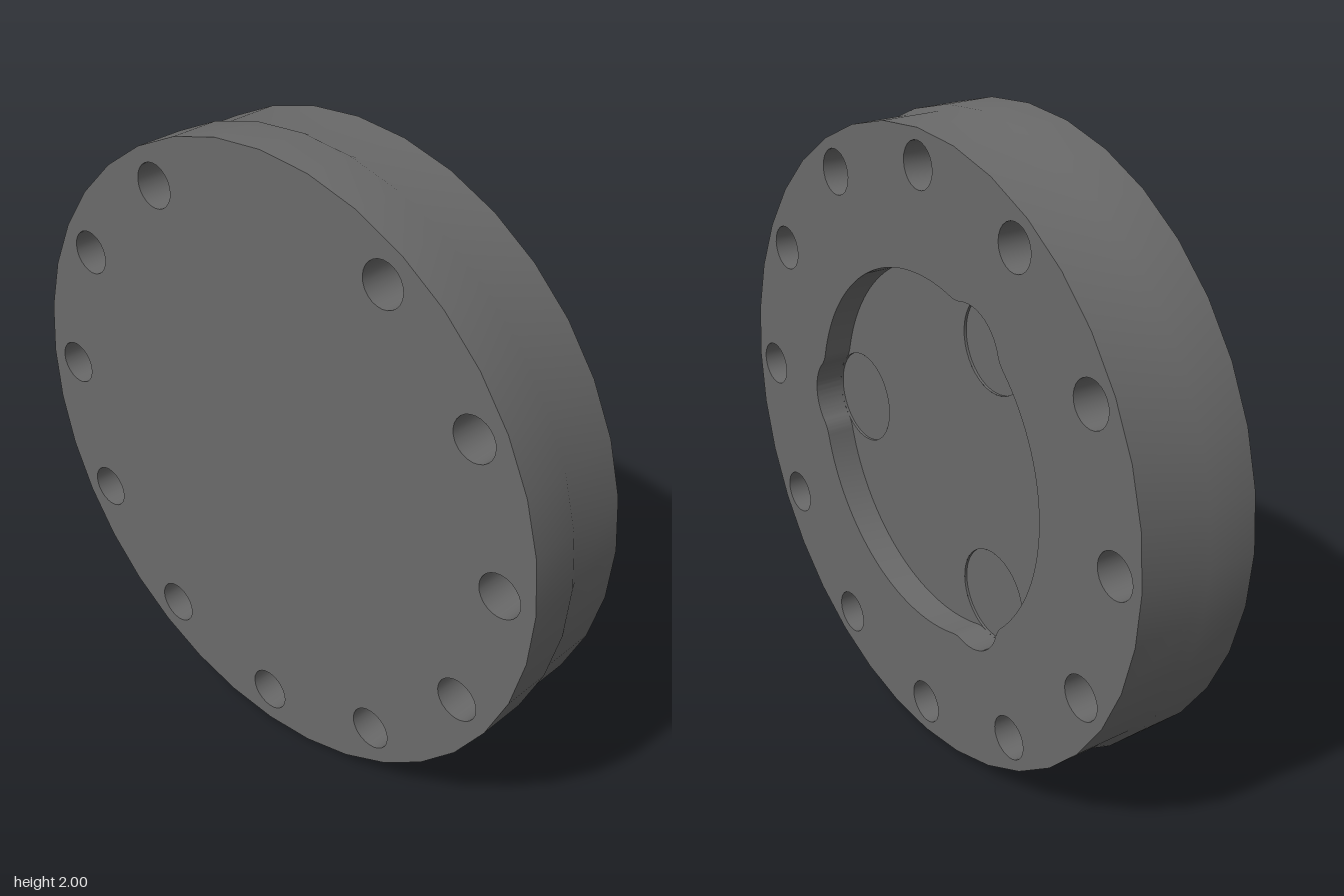
import * as THREE from 'three';
import { toCreasedNormals } from 'three/addons/utils/BufferGeometryUtils.js';

const BACK = -0.19, FRONT = 0.19;          // disc faces along x
const R_BACK = 1, R_FRONT = 0.985;         // stepped rim
const BOLT_R = 0.88, HOLE_R = 0.07;        // bolt circle
const MAIN_R = 0.565, LOBE_C = 0.465, LOBE_R = 0.145; // recess
const BLEND = 0.03;                        // rounding where lobes meet the main circle
const FLOOR = FRONT - 0.092, POCKET = FRONT - 0.1;
const BLIND = FRONT - 0.12;                // where the blind hole starts to round off
const LOBES = [Math.PI / 3, Math.PI, 5 * Math.PI / 3];

const material = new THREE.MeshStandardMaterial({ color: 0x6a6a6a });
const openMaterial = new THREE.MeshStandardMaterial({ color: 0x6a6a6a, side: THREE.DoubleSide });

// Points of a circle in the disc plane (u = -z, v = y)
function circle(r, n, cu = 0, cv = 0) {
  return Array.from({ length: n }, (_, i) => {
    const a = (i / n) * Math.PI * 2;
    return new THREE.Vector2(cu + r * Math.cos(a), cv + r * Math.sin(a));
  });
}

// Main circle joined with the lobes (inward = false) or cut by them (inward = true)
function recessOutline(inward) {
  const delta = Math.acos((MAIN_R ** 2 + LOBE_C ** 2 - LOBE_R ** 2) / (2 * MAIN_R * LOBE_C));
  const phi = Math.atan2(MAIN_R * Math.sin(delta), MAIN_R * Math.cos(delta) - LOBE_C);
  const lobeEnd = phi - BLEND / LOBE_R, mainStart = delta + BLEND / MAIN_R;
  const shape = new THREE.Shape();
  // Rounded corner at the crossing of the two circles
  const blend = (cornerAngle, u, v) => shape.quadraticCurveTo(
    MAIN_R * Math.cos(cornerAngle), MAIN_R * Math.sin(cornerAngle), u, v);
  for (const a of LOBES) {
    const cu = LOBE_C * Math.cos(a), cv = LOBE_C * Math.sin(a);
    const next = a + Math.PI * 2 / 3;
    shape.absarc(cu, cv, LOBE_R, a - lobeEnd, a + lobeEnd, inward);
    blend(a + delta, MAIN_R * Math.cos(a + mainStart), MAIN_R * Math.sin(a + mainStart));
    shape.absarc(0, 0, MAIN_R, a + mainStart, next - mainStart, false);
    blend(next - delta,
      LOBE_C * Math.cos(next) + LOBE_R * Math.cos(next - lobeEnd),
      LOBE_C * Math.sin(next) + LOBE_R * Math.sin(next - lobeEnd));
  }
  return shape.getPoints(16);
}

// Flat face at a given x, looking along dir (+1 or -1)
function face(points, holes, x, dir = 1) {
  const shape = new THREE.Shape(points);
  shape.holes = holes.map((h) => new THREE.Path(h));
  return new THREE.ShapeGeometry(shape).rotateY(dir * Math.PI / 2).translate(x, 0, 0);
}

// Open wall following a closed outline between two x positions
function wall(points, x0, x1) {
  const pos = [], index = [], n = points.length;
  points.forEach((p, i) => {
    pos.push(x0, p.y, -p.x, x1, p.y, -p.x);
    const a = 2 * i, b = 2 * ((i + 1) % n);
    index.push(a, a + 1, b, b, a + 1, b + 1);
  });
  const g = new THREE.BufferGeometry();
  g.setAttribute('position', new THREE.Float32BufferAttribute(pos, 3));
  g.setIndex(index);
  return toCreasedNormals(g, 0.8);
}

export function createModel() {
  const model = new THREE.Group();
  model.name = 'flangeCover';
  const disc = new THREE.Group();
  disc.name = 'disc';
  disc.position.y = 1;
  model.add(disc);
  const add = (name, geometry, mat = material) => {
    const mesh = new THREE.Mesh(geometry, mat);
    mesh.name = name;
    disc.add(mesh);
  };

  // Bolt holes, the top one being blind
  const holes = [];
  for (let i = 0; i < 12; i++) {
    const a = Math.PI / 2 + (i * Math.PI) / 6;
    holes.push(circle(HOLE_R, 24, BOLT_R * Math.cos(a), BOLT_R * Math.sin(a)));
  }

  // Rim with its small bevelled step
  const profile = [[R_BACK, BACK], [R_BACK, -0.03], [R_FRONT, 0], [R_FRONT, FRONT]];
  const rim = new THREE.LatheGeometry(profile.map(([r, x]) => new THREE.Vector2(r, x)), 36);
  add('rim', rim.rotateZ(-Math.PI / 2));

  // Faces
  const outline = recessOutline(false);
  add('frontFace', face(circle(R_FRONT, 36), [outline, ...holes], FRONT));
  add('backFace', face(circle(R_BACK, 36), holes.slice(1), BACK, -1));

  // Hole walls
  holes.forEach((h, i) => add('boltHole', wall(h, i ? BACK : BLIND, FRONT), openMaterial));
  const bottom = new THREE.SphereGeometry(HOLE_R, 24, 8, 0, Math.PI * 2, 0, Math.PI / 2);
  add('blindHoleBottom', bottom.rotateZ(Math.PI / 2).translate(BLIND, BOLT_R, 0), openMaterial);

  // Recess with three slightly deeper round pockets
  add('recessWall', wall(outline, FLOOR, FRONT), openMaterial);
  add('recessFloor', face(recessOutline(true), [], FLOOR));
  for (const a of LOBES) {
    const lobe = circle(LOBE_R, 48, LOBE_C * Math.cos(a), LOBE_C * Math.sin(a));
    add('pocketWall', wall(lobe, POCKET, FLOOR), openMaterial);
    add('pocketFloor', face(lobe, [], POCKET));
  }
  return model;
}
